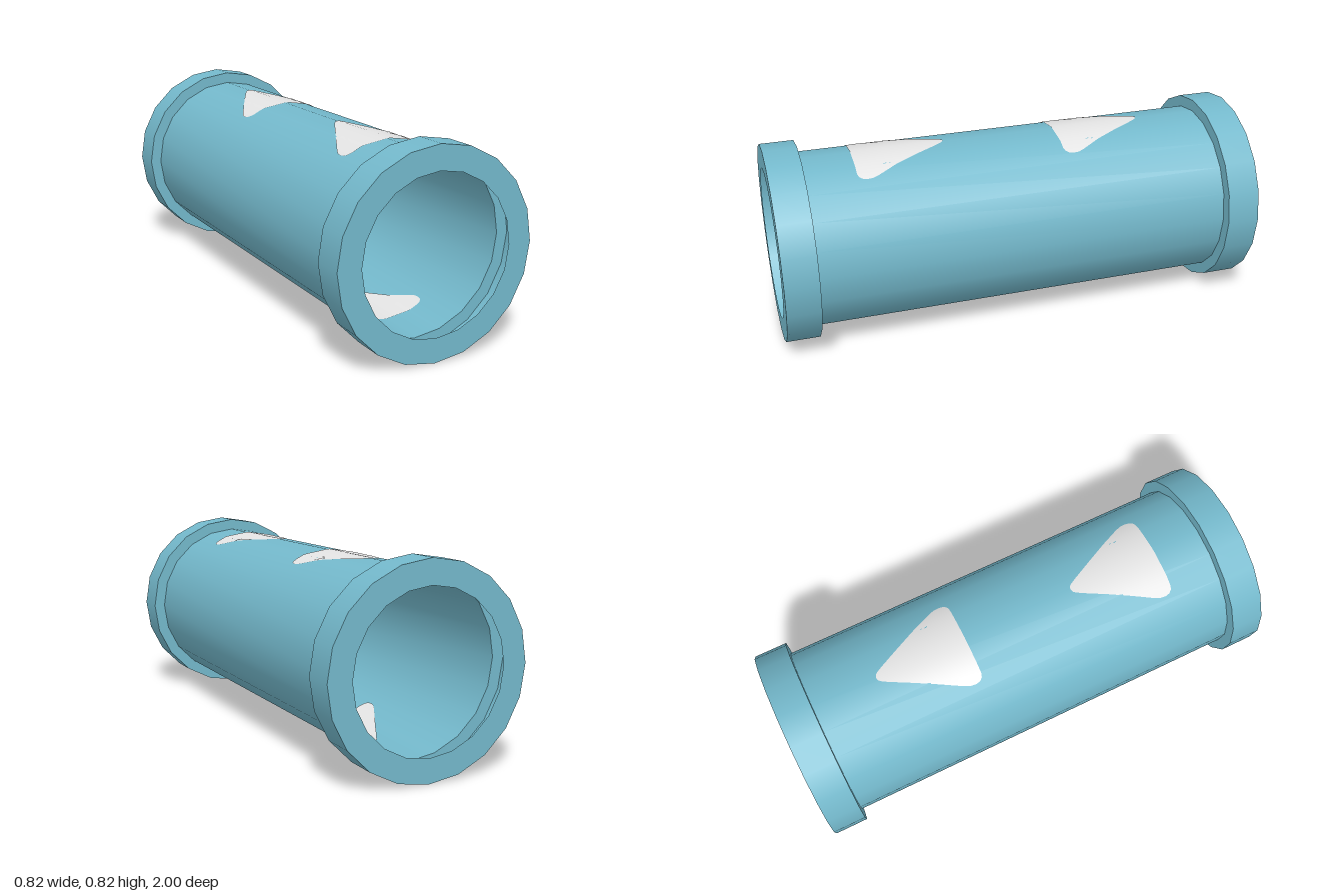
import * as THREE from 'three';

const SIDES = 20;
const CENTRE_Y = 0.408;
const TUBE_R = 0.36, RIM_R = 0.408, HOLE_R = 0.311;
const TUBE_END = 0.862;

// Open cylinder lying along z
function openCylinder(radius, length) {
  return new THREE.CylinderGeometry(radius, radius, length, SIDES, 1, true).rotateX(Math.PI / 2);
}

// Height of the many-sided tube wall above its axis at a given x
function wallHeight(x, radius) {
  const step = (2 * Math.PI) / SIDES;
  const k = Math.floor(Math.asin(Math.abs(x) / radius) / step);
  const x0 = radius * Math.sin(k * step), x1 = radius * Math.sin((k + 1) * step);
  const y0 = radius * Math.cos(k * step), y1 = radius * Math.cos((k + 1) * step);
  return y0 + ((Math.abs(x) - x0) / (x1 - x0)) * (y1 - y0);
}

// Rounded triangle: [distance from the tip, half width]
const ARROW = [
  [0, 0.003], [0.004, 0.013], [0.015, 0.022], [0.04, 0.036], [0.13, 0.082],
  [0.22, 0.128], [0.3, 0.168], [0.325, 0.178], [0.35, 0.18], [0.368, 0.176],
  [0.38, 0.166], [0.385, 0.152],
];

// Rounded triangle wrapped onto the wall at the given radius, tip at tipZ
function arrowPatch(tipZ, radius) {
  const columns = 20;
  const positions = [], normals = [], index = [];
  ARROW.forEach(([t, half], row) => {
    for (let c = 0; c <= columns; c++) {
      const x = -0.005 + half * ((2 * c) / columns - 1);
      const y = wallHeight(x, radius);
      const len = Math.hypot(x, y);
      positions.push(x, y, tipZ + t);
      normals.push(x / len, y / len, 0);
      if (row && c) {
        const d = row * (columns + 1) + c, b = d - columns - 1;
        index.push(b - 1, d - 1, d, b - 1, d, b);
      }
    }
  });
  const geometry = new THREE.BufferGeometry();
  geometry.setAttribute('position', new THREE.Float32BufferAttribute(positions, 3));
  geometry.setAttribute('normal', new THREE.Float32BufferAttribute(normals, 3));
  geometry.setIndex(index);
  return geometry;
}

export function createModel() {
  const blue = new THREE.MeshStandardMaterial({ color: 0x74b9cc, side: THREE.DoubleSide });
  blue.name = 'pipe blue';
  const pale = new THREE.MeshStandardMaterial({ color: 0xe4e4e4, side: THREE.DoubleSide });
  pale.name = 'arrow pale grey';

  const model = new THREE.Group();
  model.name = 'pipe';
  const add = (parent, name, geometry, material) => {
    const mesh = new THREE.Mesh(geometry, material);
    mesh.name = name;
    parent.add(mesh);
    return mesh;
  };

  // Thin-walled tube
  add(model, 'tube', openCylinder(TUBE_R, 2 * TUBE_END), blue);

  // Hollow collar at each end: outer band, end face and inner shoulder
  for (const end of ['front', 'back']) {
    const collar = new THREE.Group();
    collar.name = end + 'Collar';
    if (end === 'back') collar.rotation.y = Math.PI;
    add(collar, 'collarBand', openCylinder(RIM_R, 1 - TUBE_END), blue).position.z = (1 + TUBE_END) / 2;
    add(collar, 'collarFace', new THREE.RingGeometry(HOLE_R, RIM_R, SIDES), blue).position.z = 1;
    const shoulder = add(collar, 'collarShoulder', new THREE.RingGeometry(TUBE_R, RIM_R, SIDES), blue);
    shoulder.rotation.y = Math.PI;
    shoulder.position.z = TUBE_END;
    model.add(collar);
  }

  // Arrows above and below, showing on both sides of the wall
  for (const side of ['top', 'bottom']) {
    const arrows = new THREE.Group();
    arrows.name = side + 'Arrows';
    if (side === 'bottom') arrows.scale.y = -1;
    for (const tipZ of [0.27, -0.59]) {
      add(arrows, 'outerArrow', arrowPatch(tipZ, TUBE_R + 0.003), pale);
      add(arrows, 'innerArrow', arrowPatch(tipZ, TUBE_R - 0.003), pale);
    }
    model.add(arrows);
  }

  for (const part of model.children) part.position.y = CENTRE_Y;
  return model;
}
